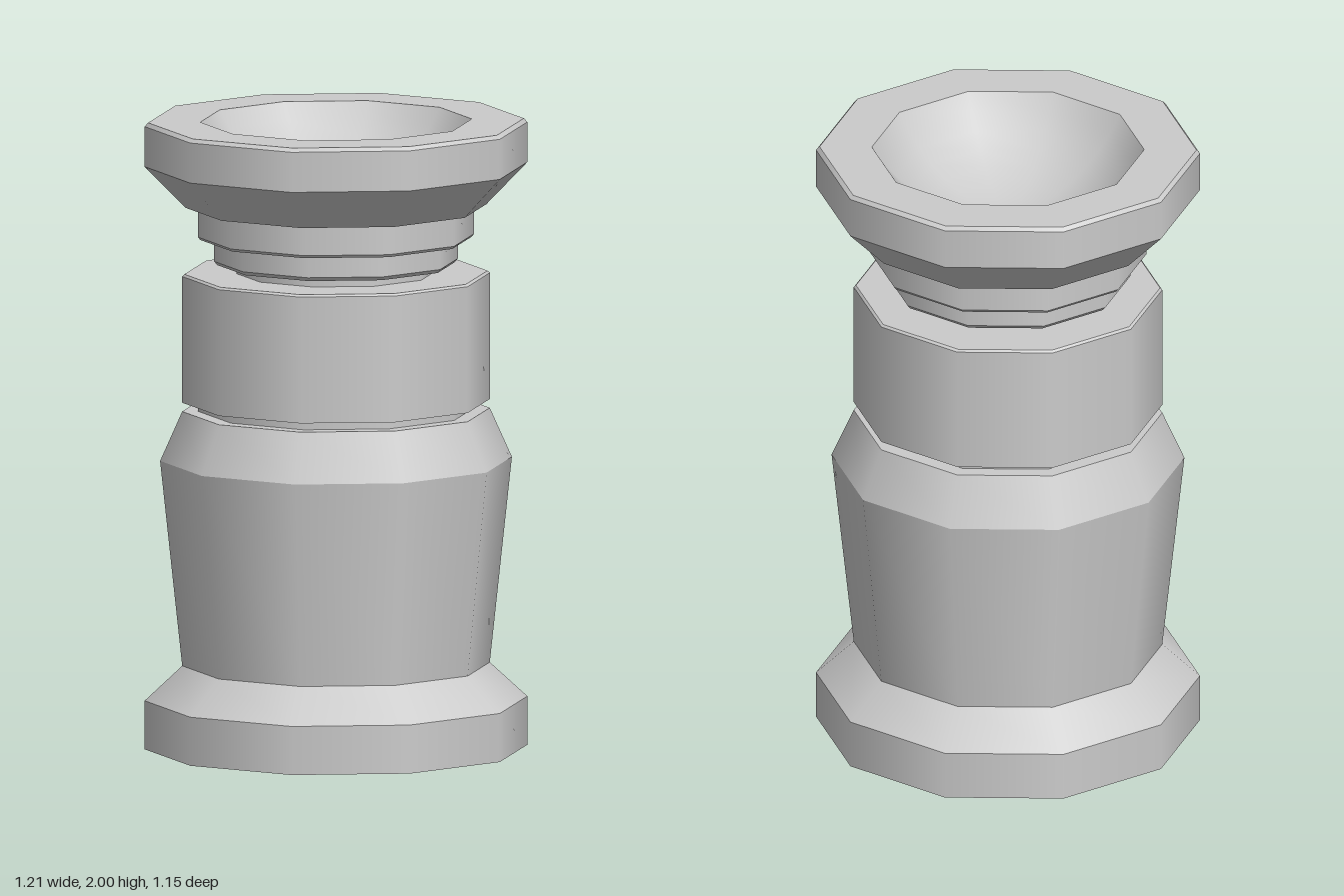
import * as THREE from 'three';
import { mergeGeometries } from 'three/addons/utils/BufferGeometryUtils.js';

const SIDES = 10;
const material = new THREE.MeshStandardMaterial({ color: 0xcccccc });

// Ten-sided lathe, smooth around the axis, with a corner at +x
function turn(points) {
  const pts = points.map(([r, y]) => new THREE.Vector2(r, y));
  return new THREE.LatheGeometry(pts, SIDES, Math.PI / 2);
}

// Each step of the profile is its own lathe, so the ring edges stay sharp
function ringPart(name, points, smooth = false) {
  const steps = smooth ? [points] : points.slice(1).map((p, i) => [points[i], p]);
  const mesh = new THREE.Mesh(mergeGeometries(steps.map(turn)), material);
  mesh.name = name;
  return mesh;
}

export function createModel() {
  const group = new THREE.Group();
  group.name = 'turnedPiece';

  // Spherical dish sunk into the top
  const openR = 0.43, depth = 0.25;
  const sphereR = (openR * openR + depth * depth) / (2 * depth);
  const spread = Math.asin(openR / sphereR);
  const bowl = [];
  for (let i = 0; i <= 8; i++) {
    const a = spread * (1 - i / 8);
    bowl.push([sphereR * Math.sin(a), 2 - depth + sphereR * (1 - Math.cos(a))]);
  }

  group.add(
    // Foot with sloped shoulder
    ringPart('base', [[0, 0], [0.606, 0], [0.606, 0.155], [0.487, 0.265]]),
    // Flaring body and its shoulder
    ringPart('body', [[0.487, 0.265], [0.557, 0.92], [0.487, 1.077], [0.437, 1.077]]),
    // Narrow groove between body and collar
    ringPart('groove', [[0.437, 1.077], [0.437, 1.105]]),
    ringPart('collar', [[0.437, 1.105], [0.487, 1.105], [0.487, 1.508], [0.48, 1.515], [0.315, 1.515]]),
    // Stepped neck, widening upward
    ringPart('neck', [[0.315, 1.515], [0.315, 1.543], [0.376, 1.543], [0.386, 1.555], [0.386, 1.624],
      [0.43, 1.624], [0.437, 1.633], [0.437, 1.727]]),
    // Flared head with a finely bevelled rim
    ringPart('head', [[0.437, 1.727], [0.476, 1.727], [0.606, 1.86], [0.606, 1.988], [0.595, 2], [openR, 2]]),
    ringPart('bowl', bowl, true)
  );
  return group;
}
